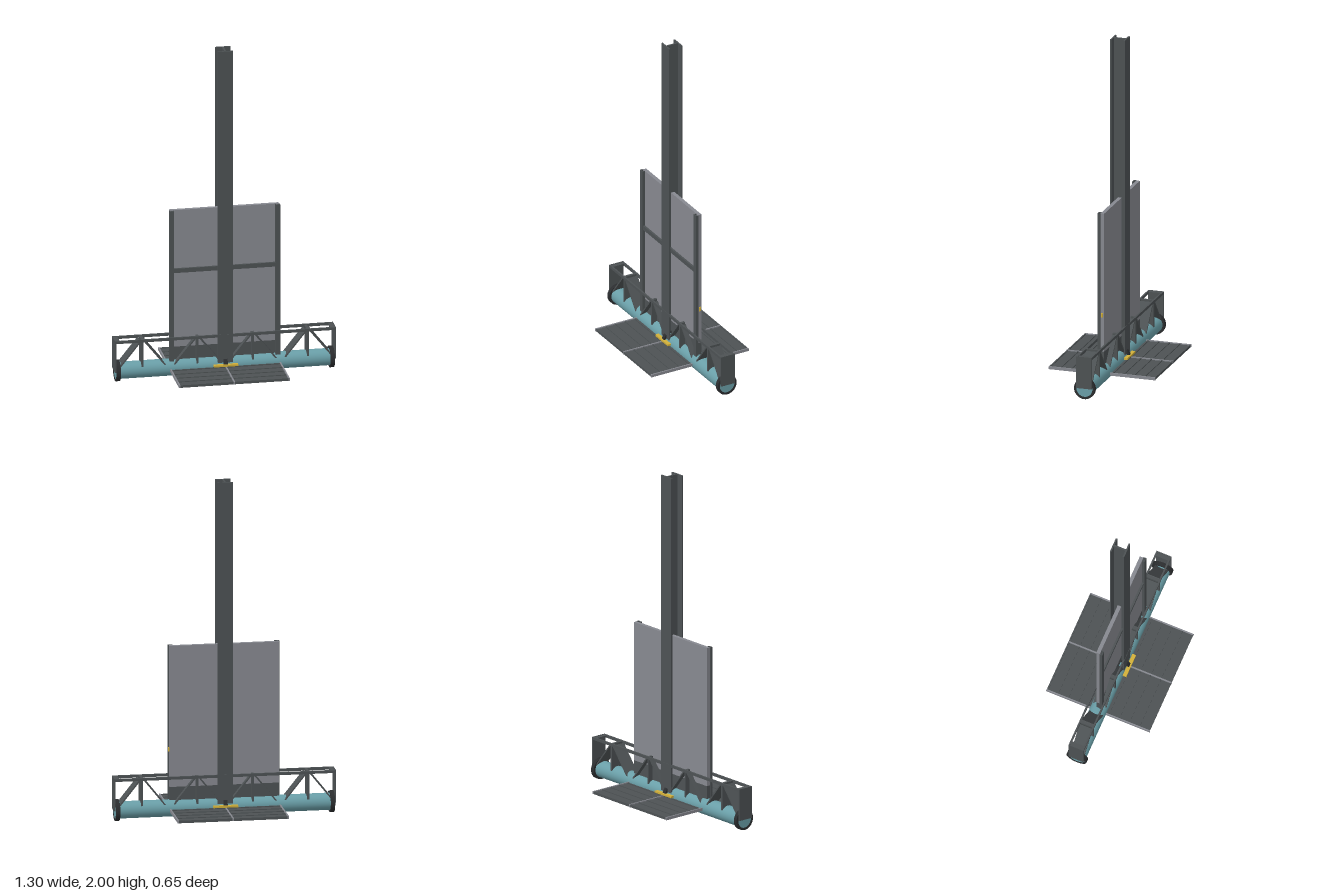
import * as THREE from 'three';

const mat = (name, color) => {
  const m = new THREE.MeshStandardMaterial({ color });
  m.name = name;
  return m;
};

export function createModel() {
  const steel = mat('dark steel', 0x4d5254);
  const black = mat('clamp black', 0x2b2d2f);
  const grey = mat('panel grey', 0x878990);
  const teal = mat('pipe teal', 0x6a9fa8);
  const yellow = mat('safety yellow', 0xd2b03a);
  const root = new THREE.Group();

  const group = (name) => {
    const g = new THREE.Group();
    g.name = name;
    root.add(g);
    return g;
  };
  // Box given by its ranges on each axis
  const box = (parent, name, m, [x0, x1], [y0, y1], [z0, z1]) => {
    const mesh = new THREE.Mesh(new THREE.BoxGeometry(x1 - x0, y1 - y0, z1 - z0), m);
    mesh.position.set((x0 + x1) / 2, (y0 + y1) / 2, (z0 + z1) / 2);
    mesh.name = name;
    parent.add(mesh);
    return mesh;
  };
  const span = (s, a, b) => (s > 0 ? [a, b] : [-b, -a]);

  // Mast: an I-beam with front and back flanges
  const mast = group('mast');
  for (const s of [1, -1]) box(mast, 'mastFlange', steel, [-0.045, 0.045], [0.07, 2], span(s, 0.036, 0.045));
  box(mast, 'mastWeb', steel, [-0.005, 0.005], [0.07, 2], [-0.036, 0.036]);

  // Base pipe with three clamp rings
  const base = group('basePipe');
  const pipe = new THREE.Mesh(new THREE.CylinderGeometry(0.05, 0.05, 1.28, 32), teal);
  pipe.rotation.z = Math.PI / 2;
  pipe.position.y = 0.063;
  pipe.name = 'pipe';
  base.add(pipe);
  const ring = new THREE.Shape().absarc(0, 0, 0.063, 0, Math.PI * 2, false);
  ring.holes.push(new THREE.Path().absarc(0, 0, 0.049, 0, Math.PI * 2, true));
  const ringGeo = new THREE.ExtrudeGeometry(ring, { depth: 0.024, bevelEnabled: false, curveSegments: 24 });
  ringGeo.translate(0, 0, -0.012).rotateY(Math.PI / 2);
  for (const x of [-0.63, 0, 0.63]) {
    const clamp = new THREE.Mesh(ringGeo, black);
    clamp.position.set(x, 0.063, 0);
    clamp.name = 'clamp';
    base.add(clamp);
  }

  // Truss: top chords, uprights, end plates and sloping plates
  const truss = group('truss');
  for (const s of [1, -1]) {
    box(truss, 'topChord', steel, [-0.65, 0.65], [0.242, 0.258], span(s, 0.037, 0.047));
    box(truss, 'endPlate', steel, span(s, 0.643, 0.65), [0.066, 0.258], [-0.047, 0.047]);
    box(truss, 'endCrossbar', steel, span(s, 0.62, 0.643), [0.244, 0.256], [-0.037, 0.037]);
  }
  for (const x of [-0.487, -0.163, 0.163, 0.487]) {
    box(truss, 'upright', steel, [x - 0.006, x + 0.006], [0.08, 0.25], [-0.042, 0.042]);
    box(truss, 'crossbar', steel, [x - 0.008, x + 0.008], [0.244, 0.256], [-0.037, 0.037]);
    for (const s of [1, -1]) {
      const run = 0.128, rise = 0.16;
      const brace = new THREE.Mesh(new THREE.BoxGeometry(Math.hypot(run, rise), 0.008, 0.082), steel);
      brace.position.set(x + s * (0.012 + run / 2), 0.165, 0);
      brace.rotation.z = -s * Math.atan2(rise, run);
      brace.name = 'slopingPlate';
      truss.add(brace);
    }
  }

  // Upright panel with dark kick plate, middle rail and channel posts
  const panel = group('panel');
  box(panel, 'panelSheet', grey, [-0.322, 0.322], [0.19, 1.03], [-0.012, 0.01]);
  box(panel, 'kickPlate', steel, [-0.322, 0.322], [0.08, 0.19], [-0.012, 0.01]);
  box(panel, 'middleRail', steel, [-0.3, 0.3], [0.647, 0.673], [0.01, 0.022]);
  for (const s of [1, -1]) {
    box(panel, 'postFace', steel, span(s, 0.298, 0.326), [0.08, 1.03], [0.022, 0.027]);
    box(panel, 'postInnerFlange', steel, span(s, 0.298, 0.302), [0.08, 1.03], [0.01, 0.022]);
    box(panel, 'postOuterFlange', steel, span(s, 0.322, 0.326), [0.08, 1.03], [0.01, 0.022]);
  }
  box(panel, 'latch', yellow, [0.32, 0.328], [0.4, 0.425], [-0.006, 0.006]);

  // Footplates front and back: ribbed decks with pale edge trims
  const feet = group('footplates');
  for (const s of [1, -1]) {
    box(feet, 'deck', steel, [-0.32, 0.32], [0.05, 0.061], span(s, 0.045, 0.322));
    for (let i = 1; i <= 5; i++) {
      const z = i * 0.064;
      box(feet, 'rib', steel, [-0.32, 0.32], [0.061, 0.066], span(s, z - 0.004, z + 0.004));
    }
    for (const x of [-0.322, 0, 0.322]) {
      box(feet, 'trim', grey, [x - 0.004, x + 0.004], [0.05, 0.067], span(s, 0.045, 0.325));
    }
    box(feet, 'yellowBracket', yellow, [-0.072, 0.072], [0.067, 0.078], span(s, 0.046, 0.07));
  }
  return root;
}
